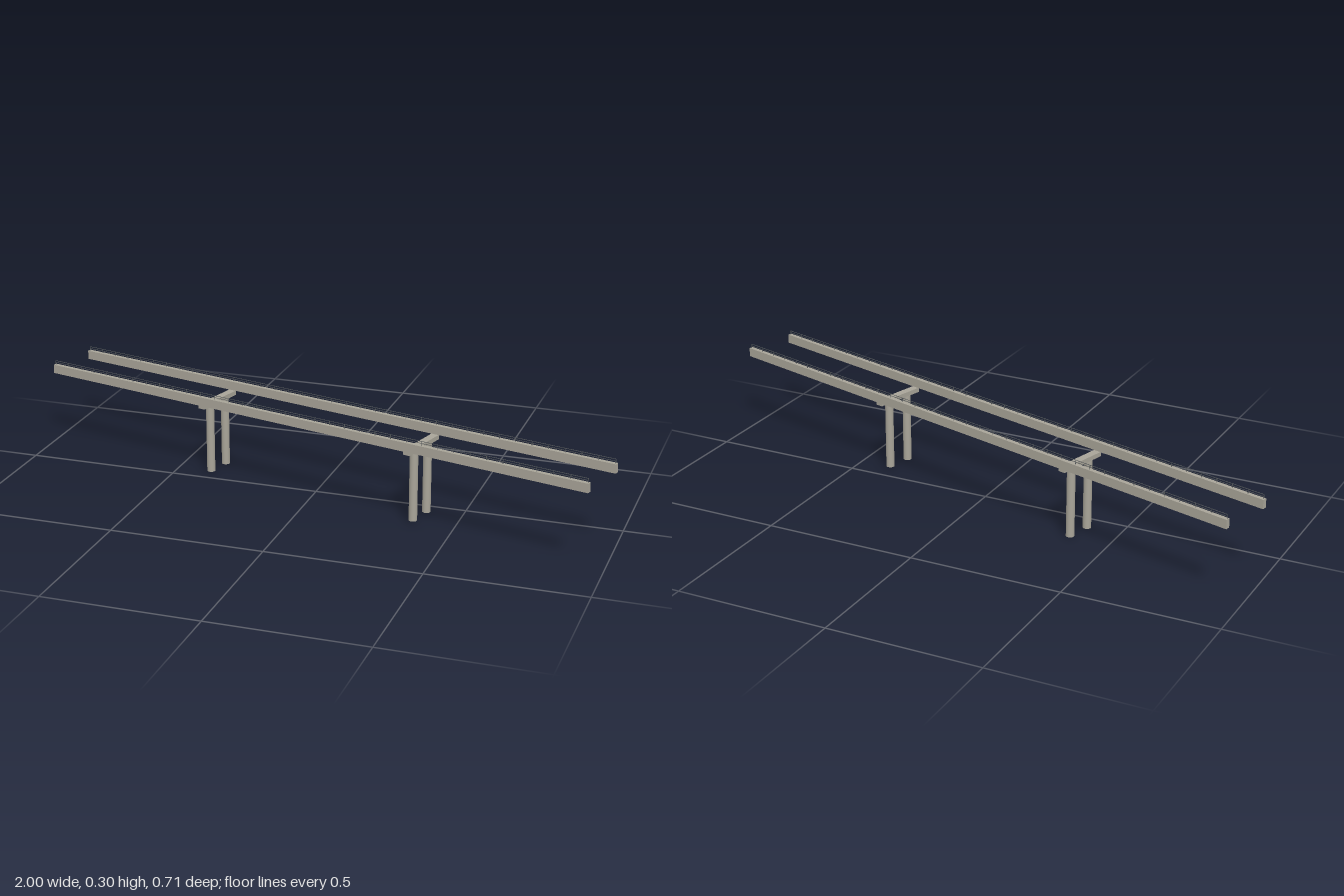
import * as THREE from 'three';

const SKEW = -0.263;        // bridge runs diagonally in plan
const SLOPE = 0.0094;       // gentle rise towards +x
const HALF = 1.009;         // half length of a girder
const OFFSET = 0.091;       // girder distance from the centre line
const WIDTH = 0.0145;
const DEPTH = 0.0295;
const SOFFIT = 0.25;        // girder underside at mid-span

const concrete = new THREE.MeshStandardMaterial({ color: 0xa8a498 });
const steel = new THREE.MeshStandardMaterial({ color: 0x565a5c });

function add(parent, name, geometry, material, x, y, z) {
  const mesh = new THREE.Mesh(geometry, material);
  mesh.name = name;
  mesh.position.set(x, y, z);
  parent.add(mesh);
  return mesh;
}

// Edge girder with a post-and-rail fence along its top
function createGirder(name, z) {
  const group = new THREE.Group();
  group.name = name;
  add(group, 'girder', new THREE.BoxGeometry(HALF * 2, DEPTH, WIDTH), concrete, 0, DEPTH / 2, 0);

  const railing = new THREE.Group();
  railing.name = 'railing';
  railing.position.y = DEPTH;
  group.add(railing);
  const height = 0.0145, bar = 0.0013, posts = 37, reach = HALF - 0.004;
  const postGeometry = new THREE.BoxGeometry(bar, height, bar);
  const railGeometry = new THREE.BoxGeometry(reach * 2, bar, bar);
  for (let i = 0; i < posts; i++) {
    add(railing, 'railingPost', postGeometry, steel, -reach + (2 * reach * i) / (posts - 1), height / 2, 0);
  }
  for (const y of [height * 0.5, height - bar / 2]) {
    add(railing, 'rail', railGeometry, steel, 0, y, 0);
  }
  group.position.set(0, SOFFIT, z);
  group.rotation.z = SLOPE;
  return group;
}

// Pier: cross beam on two round columns
function createPier(name, x) {
  const group = new THREE.Group();
  group.name = name;
  const top = SOFFIT + x * SLOPE;
  const capDepth = 0.0148, columnHeight = 0.231;
  add(group, 'pierCap', new THREE.BoxGeometry(0.025, capDepth, 0.175), concrete, 0, top - capDepth / 2, 0);
  const column = new THREE.CylinderGeometry(0.0135, 0.0135, columnHeight, 32);
  for (const side of [-1, 1]) {
    add(group, 'column', column, concrete, 0, top - capDepth - columnHeight / 2, side * 0.041);
  }
  group.position.x = x;
  return group;
}

export function createModel() {
  const model = new THREE.Group();
  model.name = 'bridge';
  const span = new THREE.Group();
  span.name = 'span';
  span.rotation.y = SKEW;
  span.add(
    createGirder('frontGirder', OFFSET),
    createGirder('backGirder', -OFFSET),
    createPier('leftPier', 0.39),
    createPier('rightPier', -0.39)
  );
  model.add(span);
  return model;
}
